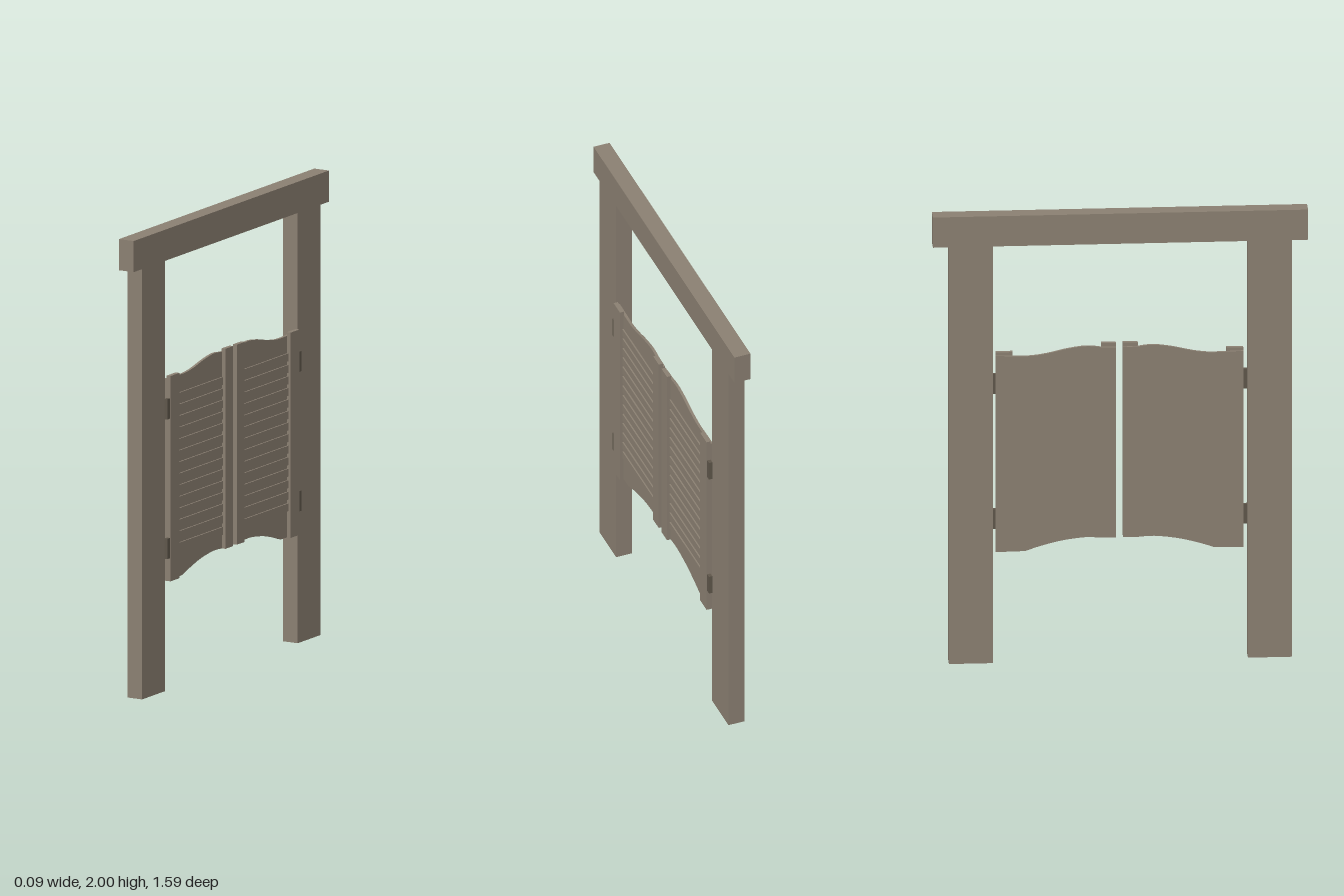
import * as THREE from 'three';

const wood = new THREE.MeshStandardMaterial({ color: 0x8b8072 });
wood.name = 'weathered wood';
const iron = new THREE.MeshStandardMaterial({ color: 0x5f574b });
iron.name = 'dark hinge metal';

// Box given by its limits on each axis
function box(name, [x0, x1], [y0, y1], [z0, z1], material = wood) {
  const mesh = new THREE.Mesh(new THREE.BoxGeometry(x1 - x0, y1 - y0, Math.abs(z1 - z0)), material);
  mesh.position.set((x0 + x1) / 2, (y0 + y1) / 2, (z0 + z1) / 2);
  mesh.name = name;
  return mesh;
}

// Backing board with wavy top and arched bottom, drawn in the z-y plane
function doorPanel(s) {
  const p = (z, y) => new THREE.Vector2(s * z, y);
  const shape = new THREE.Shape();
  shape.moveTo(s * 0.525, 0.475);
  shape.lineTo(s * 0.4, 0.477);
  shape.splineThru([p(0.34, 0.497), p(0.25, 0.52), p(0.15, 0.533), p(0.08, 0.53)]);
  shape.lineTo(s * 0.015, 0.53);
  shape.lineTo(s * 0.015, 1.38);
  shape.lineTo(s * 0.08, 1.382);
  shape.splineThru([p(0.14, 1.388), p(0.22, 1.378), p(0.31, 1.358), p(0.38, 1.349), p(0.45, 1.35)]);
  shape.lineTo(s * 0.525, 1.352);
  const geometry = new THREE.ExtrudeGeometry(shape, { depth: 0.012, bevelEnabled: false, curveSegments: 5 });
  geometry.rotateY(-Math.PI / 2).translate(0.028, 0, 0);
  const mesh = new THREE.Mesh(geometry, wood);
  mesh.name = 'doorPanel';
  return mesh;
}

function swingDoor(s) {
  const door = new THREE.Group();
  door.name = s > 0 ? 'frontDoor' : 'backDoor';
  door.add(doorPanel(s));

  // Upright stiles
  door.add(box('outerStile', [0.026, 0.045], [0.475, 1.365], [s * 0.453, s * 0.525]));
  door.add(box('innerStile', [0.026, 0.045], [0.53, 1.397], [s * 0.015, s * 0.078]));

  // Horizontal slats
  const count = 14, bottom = 0.59, pitch = 0.05;
  for (let i = 0; i < count; i++) {
    const y = bottom + i * pitch;
    door.add(box('slat', [0.027, 0.034], [y, y + 0.034], [s * 0.078, s * 0.453]));
  }

  // Hinges between door and post
  for (const y of [0.575, 1.18]) {
    door.add(box('hinge', [0.027, 0.042], [y, y + 0.088], [s * 0.524, s * 0.545], iron));
  }
  return door;
}

export function createModel() {
  const model = new THREE.Group();
  model.name = 'saloonDoorway';
  const depth = [-0.046, 0.027];
  model.add(box('lintel', depth, [1.865, 2], [-0.795, 0.795]));
  for (const s of [1, -1]) {
    model.add(box('post', depth, [0, 1.865], [s * 0.54, s * 0.727]));
    model.add(swingDoor(s));
  }
  return model;
}
